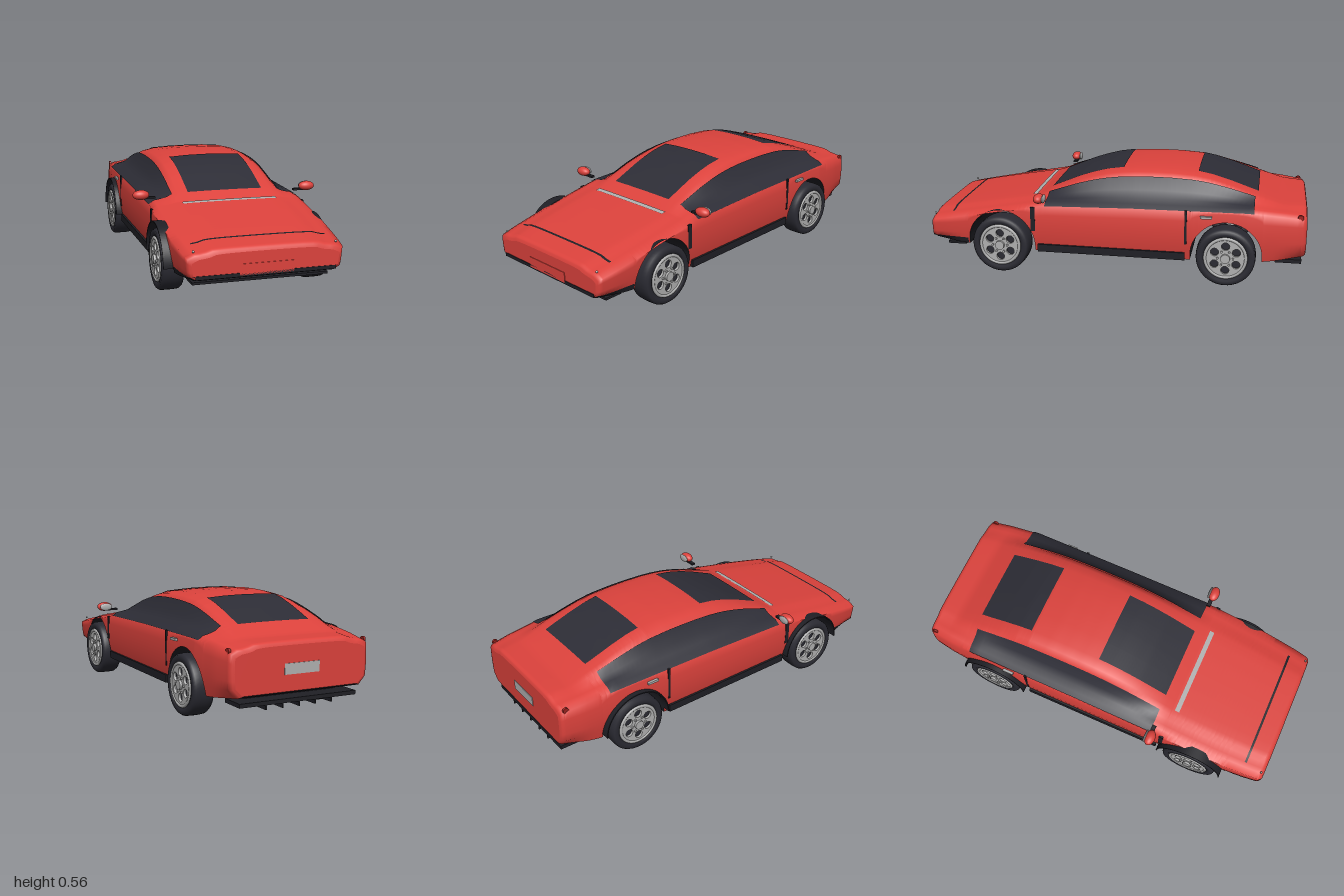
import * as THREE from 'three';

const mat = (name, color, side = THREE.FrontSide) => {
  const m = new THREE.MeshStandardMaterial({ color, side });
  m.name = name;
  return m;
};
const red = mat('bodyRed', 0xdc423c);
const glass = mat('darkGlass', 0x2d2d36, THREE.DoubleSide);
const black = mat('blackTrim', 0x1f1f25, THREE.DoubleSide);
const rubber = mat('tyreRubber', 0x2a2a32);
const silver = mat('silver', 0xb0b0b0);
const darkRed = mat('lampRed', 0x9c2420);

const ARCH = 0.183, AXLES = [-0.595, 0.595], AXLE_Y = 0.153, END = 0.997;

// Body measures along z
const TOP = [[-1, 0.4], [-0.87, 0.405], [-0.75, 0.45], [-0.6, 0.505], [-0.5, 0.536], [-0.42, 0.552], [-0.3, 0.561], [-0.2, 0.562],
  [-0.1, 0.559], [-0.03, 0.553], [0.05, 0.54], [0.12, 0.521], [0.2, 0.493], [0.35, 0.427], [0.42, 0.392], [0.6, 0.363], [0.8, 0.328], [1, 0.29]];
const BELT = [[-1, 0.375], [-0.87, 0.39], [-0.7, 0.405], [-0.1, 0.4], [0.36, 0.388], [0.42, 0.375], [0.6, 0.342], [0.8, 0.306], [1, 0.268]];
const WIDTH = [[-1, 0.375], [-0.87, 0.395], [-0.7, 0.41], [0.45, 0.41], [0.7, 0.404], [0.9, 0.39], [1, 0.378]];
const FLOOR = [[-1, 0.155], [-0.78, 0.13], [-0.4, 0.12], [0.4, 0.12], [0.78, 0.135], [1, 0.148]];
// Upper section: x, and share of the height from belt to roof
const ROOF = [[0.345, 0.12], [0.31, 0.34], [0.28, 0.75], [0.25, 0.87], [0.2, 0.95], [0.1, 0.99], [0, 1]];

function at(table, z) {
  let i = 1;
  while (i < table.length - 1 && table[i][0] < z) i++;
  const [a, b] = [table[i - 1], table[i]];
  return THREE.MathUtils.mapLinear(z, a[0], b[0], a[1], b[1]);
}

// Closed-over-the-top section, from the +x sill to the -x sill (27 points)
function section(z, lift = 0) {
  const e = Math.min(1, Math.max(0, (Math.abs(z) - (END - 0.025)) / 0.025));
  const inset = 0.02 * (1 - Math.sqrt(1 - e * e));
  const w = at(WIDTH, z) - inset, top = at(TOP, z) - inset, belt = at(BELT, z) - inset;
  let low = at(FLOOR, z) + inset * 0.5;
  for (const c of AXLES) {
    const d = Math.abs(z - c);
    if (d <= ARCH + 1e-6) low = AXLE_Y + Math.sqrt(Math.max(0, ARCH * ARCH - d * d));
  }
  const tuck = 0.03 * THREE.MathUtils.smoothstep(Math.abs(z), 0.8, 1);
  const half = [];
  for (let k = 0; k <= 5; k++) {
    const y = THREE.MathUtils.lerp(low, belt - 0.015, k / 5);
    half.push([w - 0.8 * (y - 0.28) ** 2 - (k === 0 ? tuck : 0) + lift, y]);
  }
  half.push([w - 0.035 + lift, belt + lift]);
  for (const [x, f] of ROOF) half.push([x * w / 0.41 + (x > 0.26 ? lift : 0), belt + (top - belt) * f + lift]);
  return half.concat(half.slice(0, -1).reverse().map(([x, y]) => [-x, y]));
}

// Surface through rows of points, one row for each z
function loft(zs, rowAt) {
  const pos = [], idx = [];
  const n = rowAt(zs[0]).length;
  zs.forEach((z, i) => {
    rowAt(z).forEach(([x, y], j) => {
      pos.push(x, y, z);
      if (i && j) {
        const d = i * n + j, c = d - 1, b = d - n, a = b - 1;
        idx.push(a, b, c, b, d, c);
      }
    });
  });
  const g = new THREE.BufferGeometry();
  g.setAttribute('position', new THREE.Float32BufferAttribute(pos, 3));
  g.setIndex(idx);
  g.computeVertexNormals();
  return g;
}
const range = (a, b, n) => Array.from({ length: n + 1 }, (_, i) => a + (b - a) * i / n);

function add(parent, name, geo, material, x = 0, y = 0, z = 0) {
  const m = new THREE.Mesh(geo, material);
  m.name = name;
  m.position.set(x, y, z);
  parent.add(m);
  return m;
}
const box = (w, h, d) => new THREE.BoxGeometry(w, h, d);
const disc = (r, depth, seg = 24) => new THREE.CylinderGeometry(r, r, depth, seg).rotateZ(Math.PI / 2);

// Wheel with its outer face toward +x
function makeWheel() {
  const wheel = new THREE.Group();
  const profile = [[0.108, -0.05], [0.125, -0.056], [0.143, -0.055], [0.151, -0.044], [0.153, -0.02],
    [0.153, 0.02], [0.151, 0.044], [0.143, 0.055], [0.125, 0.056], [0.108, 0.05], [0.104, 0], [0.108, -0.05]];
  const tyre = new THREE.LatheGeometry(profile.map(p => new THREE.Vector2(...p)), 48).rotateZ(-Math.PI / 2);
  add(wheel, 'tyre', tyre, rubber);
  const face = new THREE.Shape().absarc(0, 0, 0.098, 0, Math.PI * 2);
  for (let k = 0; k < 6; k++) {
    const a = k * Math.PI / 3 + Math.PI / 6;
    face.holes.push(new THREE.Path().absarc(0.064 * Math.cos(a), 0.064 * Math.sin(a), 0.021, 0, Math.PI * 2, true));
  }
  const plate = new THREE.ExtrudeGeometry(face, { depth: 0.014, bevelEnabled: false, curveSegments: 20 }).rotateY(Math.PI / 2);
  add(wheel, 'rimFace', plate, silver, 0.04);
  add(wheel, 'rimEdge', new THREE.TorusGeometry(0.104, 0.009, 8, 48).rotateY(Math.PI / 2), silver, 0.05);
  add(wheel, 'rimBack', disc(0.104, 0.01, 36), rubber, 0.02);
  add(wheel, 'brakeDisc', disc(0.085, 0.01, 36), silver, -0.03);
  add(wheel, 'hub', disc(0.024, 0.022), silver, 0.056);
  for (let k = 0; k < 6; k++) {
    const a = k * Math.PI / 3;
    add(wheel, 'wheelBolt', disc(0.006, 0.012, 8), silver, 0.056, 0.04 * Math.sin(a), 0.04 * Math.cos(a));
  }
  return wheel;
}

export function createModel() {
  const car = new THREE.Group();
  car.name = 'sportsCar';

  // Body shell and floor, sampled closely round the wheel arches
  const zs = [...range(-END, END, 80), ...range(END - 0.025, END, 6), ...range(-END, -END + 0.025, 6)];
  for (const c of AXLES) {
    for (const t of range(0, Math.PI, 28)) zs.push(c - ARCH * Math.cos(t));
    zs.push(c - ARCH - 0.0005, c + ARCH + 0.0005);
  }
  zs.sort((a, b) => a - b);
  add(car, 'bodyShell', loft(zs, z => section(z)), red);
  add(car, 'floor', loft(zs, z => {
    const [x, y] = section(z)[0];
    return [[-x, y], [0, y], [x, y]];
  }), black);

  // Flat nose and tail
  for (const s of [1, -1]) {
    const g = new THREE.ShapeGeometry(new THREE.Shape(section(s * END).map(p => new THREE.Vector2(...p))));
    if (s < 0) g.rotateY(Math.PI);
    add(car, s > 0 ? 'nose' : 'tail', g, red, 0, 0, s * END);
  }

  // Thin panels that follow the body surface
  const panel = (name, material, z0, z1, from, to, lift = 0.003, n = 24) =>
    add(car, name, loft(range(z0, z1, n), z => section(z, lift).slice(from, to + 1)), material);
  panel('windscreen', glass, -0.035, 0.355, 11, 15);
  panel('rearWindow', glass, -0.745, -0.43, 11, 15);
  panel('leftSideWindow', glass, -0.73, 0.355, 5, 9, 0.004, 40);
  panel('rightSideWindow', glass, -0.73, 0.355, 17, 21, 0.004, 40);
  panel('bonnetSeam', black, 0.876, 0.888, 7, 19, 0.002, 2);
  panel('cowlStrip', silver, 0.43, 0.455, 10, 16, 0.004, 2);
  panel('leftFrontLip', black, 0.785, END, 0, 1, 0.002);
  panel('rightFrontLip', black, 0.785, END, 25, 26, 0.002);

  // Nose and tail details
  add(car, 'noseLip', box(0.68, 0.018, 0.006), black, 0, 0.164, END);
  add(car, 'frontPlate', box(0.264, 0.054, 0.008), red, 0, 0.188, 0.996);
  add(car, 'rearPlate', box(0.19, 0.052, 0.006), silver, 0, 0.27, -0.997);
  add(car, 'frontSplitter', box(0.67, 0.012, 0.1), black, 0, 0.115, 0.87);
  add(car, 'splitterMount', box(0.5, 0.03, 0.03), black, 0, 0.132, 0.85);
  add(car, 'diffuser', box(0.64, 0.02, 0.135), black, 0, 0.117, -0.912);
  add(car, 'diffuserMount', box(0.5, 0.03, 0.04), black, 0, 0.135, -0.87);
  for (let k = -2; k <= 2; k++) add(car, 'diffuserFin', box(0.006, 0.03, 0.135), black, k * 0.09, 0.1, -0.912);

  // Details on both sides
  for (const s of [1, -1]) {
    add(car, 'sill', box(0.02, 0.04, 0.78), black, s * 0.4, 0.141, 0.005);
    add(car, 'frontDoorGap', box(0.009, 0.13, 0.024), black, s * 0.406, 0.298, 0.418);
    add(car, 'rearDoorGap', box(0.009, 0.18, 0.012), black, s * 0.406, 0.3, -0.387);
    add(car, 'doorHandle', box(0.014, 0.012, 0.06), silver, s * 0.414, 0.36, -0.49);
    add(car, 'rearSideLamp', disc(0.015, 0.012, 16), darkRed, s * 0.369, 0.37, -0.962);
    add(car, 'noseLamp', new THREE.SphereGeometry(0.006, 10, 8), silver, s * 0.345, 0.284, 0.978);
    add(car, 'mirrorStalk', box(0.06, 0.01, 0.022), black, s * 0.405, 0.41, 0.365);
    const shell = new THREE.SphereGeometry(1, 24, 16).scale(0.043, 0.025, 0.028);
    add(car, 'mirrorShell', shell, red, s * 0.449, 0.427, 0.37);
    const mirror = new THREE.SphereGeometry(1, 24, 12).scale(0.036, 0.021, 0.008);
    add(car, 'mirrorGlass', mirror, silver, s * 0.449, 0.427, 0.345);
  }

  // Wheels, and arch liners standing proud of the right side
  for (const z of AXLES) {
    for (const s of [1, -1]) {
      const wheel = makeWheel();
      wheel.name = (z > 0 ? 'front' : 'rear') + (s > 0 ? 'Left' : 'Right') + 'Wheel';
      wheel.position.set(s * 0.376, AXLE_Y, z);
      if (s < 0) wheel.rotation.y = Math.PI;
      car.add(wheel);
    }
    const arc = new THREE.Shape().absarc(0, 0, ARCH + 0.004, 0, Math.PI).absarc(0, 0, ARCH - 0.002, Math.PI, 0, true);
    const liner = new THREE.ExtrudeGeometry(arc, { depth: 0.055, bevelEnabled: false, curveSegments: 32 }).rotateY(Math.PI / 2);
    add(car, 'archLiner', liner, black, -0.435, AXLE_Y, z);
  }
  return car;
}
